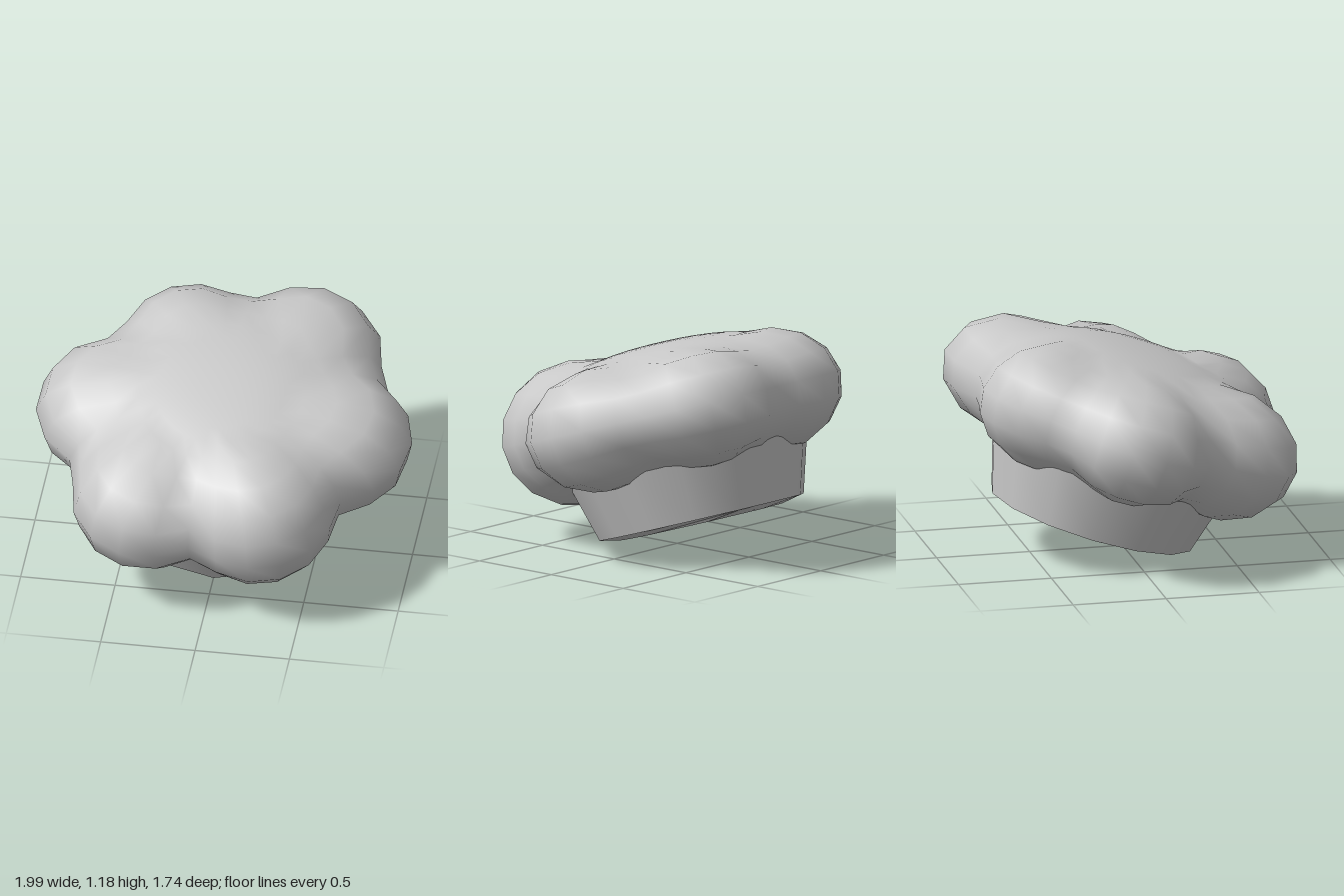
import * as THREE from 'three';
import { mergeVertices } from 'three/addons/utils/BufferGeometryUtils.js';

const TILT = 0.304;
const BASE = -0.57; // band rim height below the crown centre

// Puffs around the crown: centre x, centre z, horizontal radius, vertical radius
const PUFFS = [
  [-0.6, -0.06, 0.4, 0.32],
  [0.6, 0.01, 0.4, 0.325],
  [0.25, 0.49, 0.41, 0.385],
  [-0.33, 0.48, 0.405, 0.345],
  [-0.23, -0.45, 0.4, 0.33],
  [0.36, -0.5, 0.41, 0.31],
];

// Distance from the crown centre to its surface along direction d
function reach(d) {
  const n = 2.3;
  const flat = Math.hypot(d.x, d.z);
  let best = Math.pow(Math.pow(flat / 0.8, n) + Math.pow(Math.abs(d.y) / 0.372, n), -1 / n);
  for (const [cx, cz, r, v] of PUFFS) {
    const a = (flat / r) ** 2 + (d.y / v) ** 2;
    const b = (d.x * cx + d.z * cz) / (r * r);
    const c = (cx * cx + cz * cz) / (r * r) - 1;
    const disc = b * b - a * c;
    if (b > 0 && disc > 0) best = Math.max(best, (b + Math.sqrt(disc)) / a);
  }
  return best;
}

// Billowing crown, open underneath where the band enters
function crownGeometry() {
  let g = new THREE.SphereGeometry(1, 34, 14, 0, Math.PI * 2, 0, 2.17);
  g.deleteAttribute('uv');
  g.deleteAttribute('normal');
  const p = g.attributes.position;
  const d = new THREE.Vector3();
  for (let i = 0; i < p.count; i++) {
    d.fromBufferAttribute(p, i).normalize();
    d.multiplyScalar(reach(d));
    p.setXYZ(i, d.x, d.y, d.z);
  }
  g = mergeVertices(g, 1e-4);
  g.computeVertexNormals();
  return g;
}

function lathe(points, sides) {
  return new THREE.LatheGeometry(points.map(([r, y]) => new THREE.Vector2(r, y)), sides);
}

function ringPoints(r, sides) {
  return Array.from({ length: sides }, (_, i) => {
    const a = (i / sides) * Math.PI * 2;
    return new THREE.Vector2(r * Math.sin(a), r * Math.cos(a));
  });
}

// Faceted rim: round outside, eight-sided opening that dips slightly
function rimGeometry() {
  const shape = new THREE.Shape(ringPoints(0.555, 14));
  shape.holes.push(new THREE.Path(ringPoints(0.43, 8)));
  const g = new THREE.ShapeGeometry(shape).toNonIndexed();
  const p = g.attributes.position;
  for (let i = 0; i < p.count; i++) {
    if (Math.hypot(p.getX(i), p.getY(i)) < 0.5) p.setZ(i, 0.025);
  }
  g.computeVertexNormals();
  return g.rotateX(Math.PI / 2);
}

export function createModel() {
  const cloth = new THREE.MeshStandardMaterial({ color: 0xc8c8c8, side: THREE.DoubleSide });
  cloth.name = 'greyCloth';

  const hat = new THREE.Group();
  hat.name = 'puffyHat';
  const add = (name, geometry, y = 0) => {
    const mesh = new THREE.Mesh(geometry, cloth);
    mesh.name = name;
    mesh.position.y = y;
    hat.add(mesh);
  };

  add('crown', crownGeometry());

  // Flared head band
  add('band', lathe([[0.555, 0], [0.655, 0.34]], 14), BASE);

  add('rim', rimGeometry(), BASE);

  // Hollow inside: wall rising to a domed ceiling
  add('lining', lathe([[0, 0.76], [0.25, 0.71], [0.44, 0.58], [0.48, 0.42], [0.45, 0.25], [0.43, -0.025]], 8), BASE);

  // Tip the hat down towards the front
  hat.rotation.x = TILT;
  hat.position.y = 0.71;

  const model = new THREE.Group();
  model.name = 'model';
  model.add(hat);
  return model;
}
